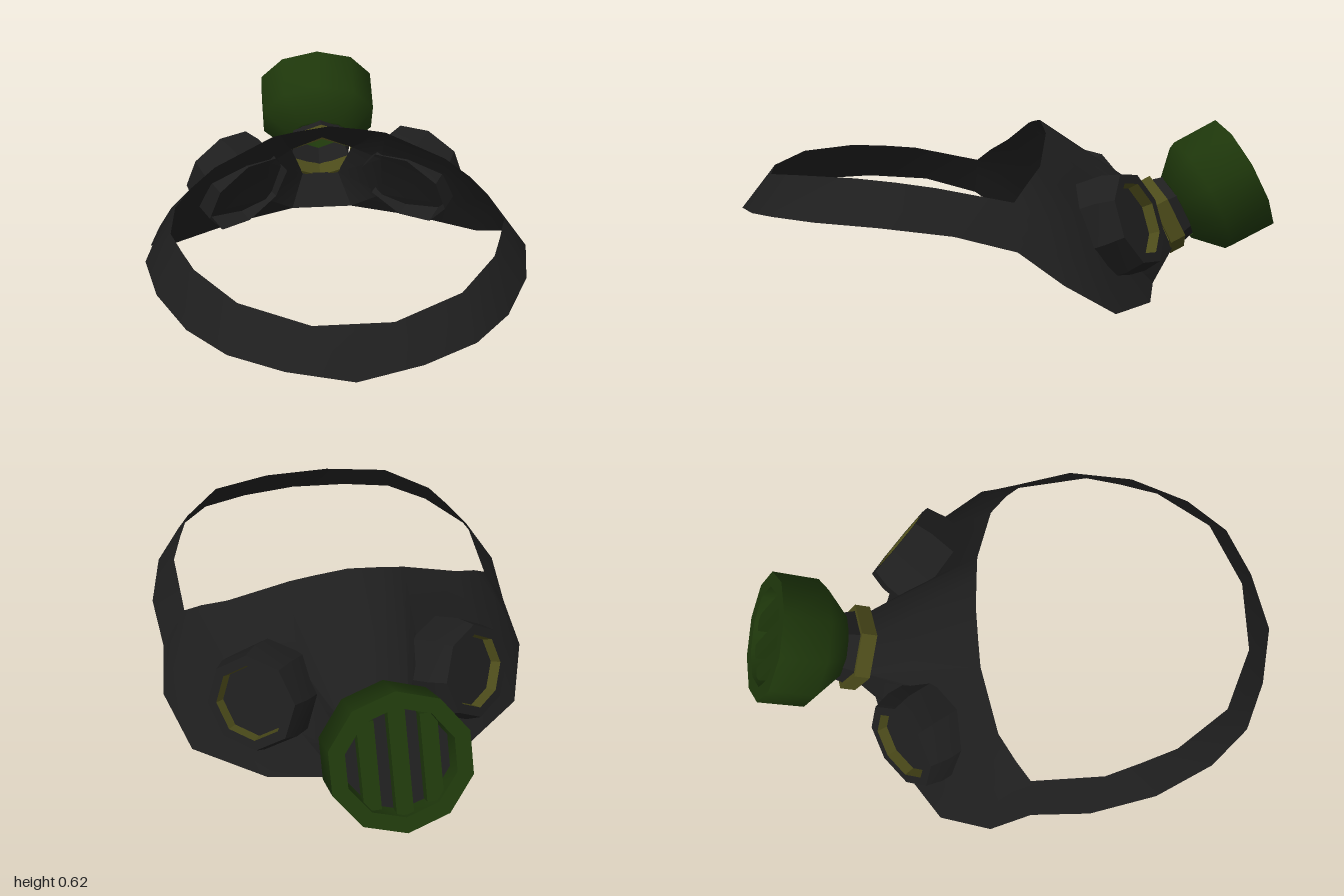
import * as THREE from 'three';
import { toCreasedNormals } from 'three/addons/utils/BufferGeometryUtils.js';

const mat = (name, color, side = THREE.FrontSide) => {
  const m = new THREE.MeshStandardMaterial({ color, side });
  m.name = name;
  return m;
};

export function createModel() {
  const rubber = mat('dark rubber', 0x1e1e1e, THREE.DoubleSide);
  const green = mat('filter green', 0x1e370b);
  const olive = mat('olive trim', 0x4c4b1a);

  const root = new THREE.Group();
  root.name = 'respirator';

  const add = (parent, name, geo, material, crease = 0.75) => {
    const mesh = new THREE.Mesh(toCreasedNormals(geo, crease), material);
    mesh.name = name;
    parent.add(mesh);
    return mesh;
  };

  const lathe = (points, sides) =>
    new THREE.LatheGeometry(points.map(p => new THREE.Vector2(...p)), sides);

  // Sheet spanned between neighbouring cross-sections, mirrored in x
  const sheet = (half, isHole = () => false) => {
    const mirrored = half.slice(1).reverse().map(c => c.map(([x, y, z]) => [-x, y, z]));
    const cols = [...mirrored, ...half];
    const mid = half.length - 1;
    const rows = half[0].length;
    const index = [];
    for (let i = 0; i < cols.length - 1; i++) {
      for (let j = 0; j < rows - 1; j++) {
        if (isHole(i < mid ? mid - 1 - i : i - mid, j)) continue;
        const a = i * rows + j, b = a + rows;
        // Diagonals mirror along with the columns
        if (i >= mid) index.push(b, a, a + 1, b + 1, b, a + 1);
        else index.push(b, a, b + 1, b + 1, a, a + 1);
      }
    }
    const geo = new THREE.BufferGeometry();
    geo.setAttribute('position', new THREE.Float32BufferAttribute(cols.flat(2), 3));
    geo.setIndex(index);
    return geo;
  };

  // Face piece: columns from the nose to the cheek, top edge to bottom edge,
  // leaving the breathing hole open in the middle
  add(root, 'facePiece', sheet([
    [[0, .63, -.105], [0, .375, -.485], [0, .14, -.605], [0, .02, -.52]],
    [[.12, .615, -.1], [.125, .305, -.52], [.075, .14, -.605], [.125, .02, -.52]],
    [[.21, .60, -.095], [.22, .375, -.29], [.24, .15, -.39], [.37, .005, -.45]],
    [[.43, .51, -.04], [.46, .355, -.175], [.52, .165, -.25], [.62, .03, -.27]],
    [[.52, .46, .02], [.6, .35, -.03], [.655, .24, -.07], [.695, .15, -.08]],
    [[.58, .41, .07], [.61, .36, .07], [.64, .31, .07], [.67, .26, .07]],
  ], (col, row) => col === 0 && row === 1), rubber);

  // Head strap: sloping band, upper inner edge to lower outer edge
  add(root, 'headStrap', sheet([
    [[0, .46, .885], [0, .32, 1]],
    [[.13, .46, .885], [.22, .335, .95]],
    [[.36, .485, .78], [.40, .35, .87]],
    [[.50, .49, .59], [.53, .35, .73]],
    [[.545, .48, .46], [.635, .345, .52]],
    [[.585, .465, .33], [.685, .32, .28]],
    [[.58, .41, .07], [.67, .26, .07]],
  ]), rubber);

  // Octagonal cheek valves, open toward the inside of the mask
  for (const s of [1, -1]) {
    const valve = new THREE.Group();
    valve.name = s > 0 ? 'leftValve' : 'rightValve';
    valve.position.set(s * .31, .255, -.265);
    valve.quaternion.setFromUnitVectors(
      new THREE.Vector3(0, 1, 0), new THREE.Vector3(s * .57, .36, -.75).normalize());
    valve.rotateY(Math.PI / 8);
    add(valve, 'valveHousing',
      lathe([[.19, -.005], [.19, .11], [.172, .18], [.136, .18]], 8), rubber, .5);
    add(valve, 'valveInnerRim', lathe([[.136, .18], [.13, .14]], 8), olive, .5);
    add(valve, 'valveDisc', lathe([[.13, .14], [0, .14]], 8), rubber, .5);
    root.add(valve);
  }

  // Main filter, tilted upward off the nose
  const filter = new THREE.Group();
  filter.name = 'filter';
  filter.position.set(0, .258, -.575);
  filter.rotation.x = -1.1;
  root.add(filter);

  const collar = add(filter, 'collar',
    lathe([[.138, -.03], [.155, -.03], [.155, .03], [.138, .03], [.138, -.03]], 6), olive, .5);
  collar.scale.x = 1.07;
  add(filter, 'neck', lathe([[.14, .025], [.12, .1]], 6), rubber, .5);

  // Canister, sitting slightly below the collar's axis
  const canister = new THREE.Group();
  canister.name = 'canister';
  canister.position.z = -.008;
  canister.scale.x = 1.04;
  filter.add(canister);
  add(canister, 'canisterBody', lathe([
    [.122, .07], [.132, .07], [.234, .172], [.236, .352], [.182, .352], [.174, .29],
  ], 10), green, 1);
  add(canister, 'canisterLining', lathe([[.14, .288], [.122, .07]], 10), green);
  add(canister, 'canisterFloor', lathe([[.174, .29], [0, .29]], 10), rubber);

  // Grille bars across the canister mouth
  for (const x of [-.1, 0, .1]) {
    const bar = add(canister, 'grilleBar',
      new THREE.BoxGeometry(.055, .045, 2 * Math.sqrt(.178 ** 2 - x * x)), green, .5);
    bar.position.set(x, .314, 0);
  }
  return root;
}
